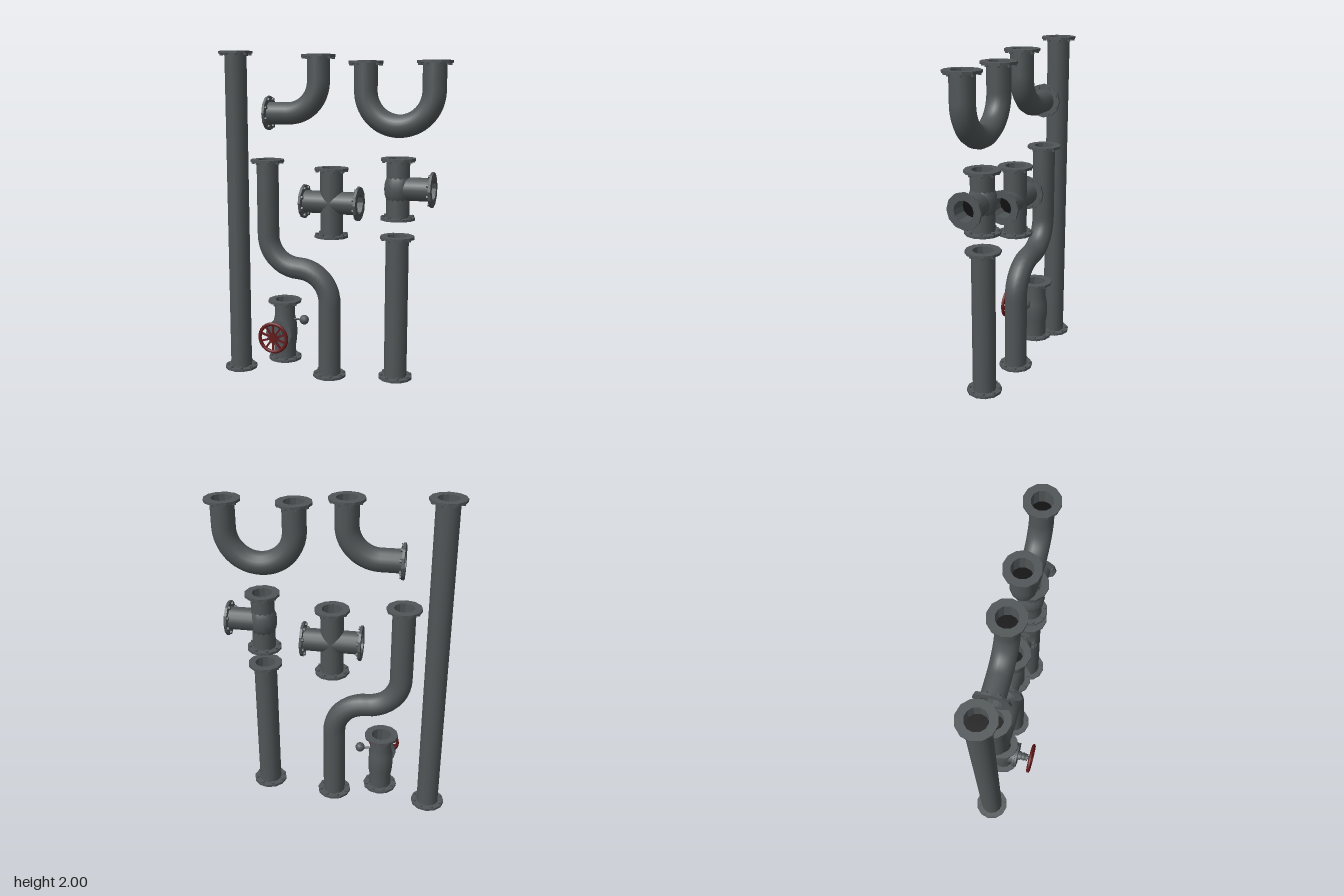
import * as THREE from 'three';
import { toCreasedNormals } from 'three/addons/utils/BufferGeometryUtils.js';

const R = 0.068, BORE = 0.06, RIM = 0.103, T = 0.015, Z = -0.052;
const UP = new THREE.Vector3(0, 1, 0);

const mat = (name, color) => {
  const m = new THREE.MeshStandardMaterial({ color });
  m.name = name;
  return m;
};

// Lifts a flat 2D path to a 3D curve
class FlatCurve extends THREE.Curve {
  constructor(path) { super(); this.path = path; }
  getPoint(t, target = new THREE.Vector3()) {
    const p = this.path.getPoint(t);
    return target.set(p.x, p.y, 0);
  }
}

export function createModel() {
  const steel = mat('dark steel', 0x505557);
  const dark = mat('bore black', 0x0c0c0c);
  const red = mat('wheel red', 0x641a1c);
  const model = new THREE.Group();
  model.name = 'pipeSet';

  const group = (name) => {
    const g = new THREE.Group();
    g.name = name;
    g.position.z = Z;
    model.add(g);
    return g;
  };
  const add = (parent, name, geo, material, x = 0, y = 0, z = 0) => {
    const m = new THREE.Mesh(geo, material);
    m.name = name;
    m.position.set(x, y, z);
    parent.add(m);
    return m;
  };

  // Flange ring with bore wall, faceing +y
  const ring = [[R - 0.004, -T], [RIM, -T], [RIM, 0], [BORE, 0], [BORE, -0.1]];
  const flangeGeo = toCreasedNormals(
    new THREE.LatheGeometry(ring.map(([x, y]) => new THREE.Vector2(x, y)), 12), 0.4);
  const boreGeo = new THREE.CircleGeometry(BORE + 0.003, 12).rotateX(-Math.PI / 2);
  const boltGeo = toCreasedNormals(new THREE.CylinderGeometry(0.011, 0.011, 0.012, 6), 0.4);

  const flange = (parent, x, y, dx, dy) => {
    const g = new THREE.Group();
    g.name = 'flange';
    g.position.set(x, y, 0);
    g.quaternion.setFromUnitVectors(UP, new THREE.Vector3(dx, dy, 0));
    add(g, 'flangeRing', flangeGeo, steel);
    add(g, 'bore', boreGeo, dark, 0, -0.098, 0);
    for (let i = 0; i < 8; i++) {
      const a = (i + 0.5) * Math.PI / 4;
      add(g, 'bolt', boltGeo, steel, 0.086 * Math.cos(a), -T - 0.005, 0.086 * Math.sin(a));
    }
    parent.add(g);
  };

  const upright = (g, x, y0, y1) => {
    add(g, 'pipe', new THREE.CylinderGeometry(R, R, y1 - y0 - 0.004, 14, 1, true), steel, x, (y0 + y1) / 2);
    flange(g, x, y1, 0, 1);
    flange(g, x, y0, 0, -1);
  };
  // Side arm from x0 out to x1
  const arm = (g, x0, x1, y) => {
    const geo = new THREE.CylinderGeometry(R, R, Math.abs(x1 - x0) - 0.002, 14, 1, true).rotateZ(Math.PI / 2);
    add(g, 'arm', geo, steel, (x0 + x1) / 2, y);
    flange(g, x1, y, Math.sign(x1 - x0), 0);
  };
  const bent = (g, path) =>
    add(g, 'bentPipe', new THREE.TubeGeometry(new FlatCurve(path), 48, R, 14, false), steel);

  // Straight pipes
  upright(group('longPipe'), -0.614, 0, 2);
  upright(group('shortPipe'), 0.407, 0.056, 0.928);

  // Elbow
  const elbow = group('elbow');
  bent(elbow, new THREE.Path().moveTo(-0.404, 1.632).lineTo(-0.272, 1.632)
    .absarc(-0.272, 1.822, 0.19, -Math.PI / 2, 0, false).lineTo(-0.082, 1.974));
  flange(elbow, -0.405, 1.632, -1, 0);
  flange(elbow, -0.082, 1.976, 0, 1);

  // U bend
  const uBend = group('uBend');
  bent(uBend, new THREE.Path().moveTo(0.208, 1.935).lineTo(0.208, 1.768)
    .absarc(0.408, 1.768, 0.2, Math.PI, 2 * Math.PI, false).lineTo(0.608, 1.935));
  flange(uBend, 0.208, 1.937, 0, 1);
  flange(uBend, 0.608, 1.937, 0, 1);

  // Offset pipe
  const offset = group('offsetPipe');
  bent(offset, new THREE.Path().moveTo(-0.413, 1.35).lineTo(-0.413, 0.885)
    .absarc(-0.213, 0.885, 0.2, Math.PI, 1.5 * Math.PI, false)
    .absarc(-0.213, 0.485, 0.2, Math.PI / 2, 0, true).lineTo(-0.013, 0.019));
  flange(offset, -0.413, 1.352, 0, 1);
  flange(offset, -0.013, 0.017, 0, -1);

  // Cross
  const cross = group('cross');
  upright(cross, 0, 0.897, 1.315);
  arm(cross, 0, 0.178, 1.106);
  arm(cross, 0, -0.178, 1.106);

  // Tee with a swollen middle
  const tee = group('tee');
  upright(tee, 0.407, 1.026, 1.386);
  arm(tee, 0.407, 0.617, 1.209);
  add(tee, 'swell', new THREE.SphereGeometry(0.082, 14, 10), steel, 0.407, 1.209).scale.y = 1.4;

  // Valve body
  const valve = group('valve');
  const vx = -0.307, vy = 0.288;
  const body = [[0.068, 0.1], [0.068, 0.19], [0.075, 0.23], [0.077, 0.288], [0.073, 0.34], [0.064, 0.38], [0.064, 0.478]];
  add(valve, 'body', new THREE.LatheGeometry(body.map(([x, y]) => new THREE.Vector2(x, y)), 14), steel, vx);
  flange(valve, vx, 0.48, 0, 1);
  flange(valve, vx, 0.098, 0, -1);

  // Bonnet, gland and stem, stacked along z: radius, from, to
  [['bonnetNeck', 0.062, -0.052, 0.035], ['bonnetPlate', 0.085, 0.03, 0.04],
    ['bonnetCover', 0.085, 0.045, 0.055], ['bonnetCore', 0.07, 0.035, 0.05],
    ['gland', 0.03, 0.055, 0.075], ['stem', 0.011, 0.05, 0.15], ['glandNut', 0.024, 0.108, 0.12],
  ].forEach(([name, r, z0, z1]) => add(valve, name,
    toCreasedNormals(new THREE.CylinderGeometry(r, r, z1 - z0, 12).rotateX(Math.PI / 2), 0.6),
    steel, vx, vy, (z0 + z1) / 2 - Z));
  add(valve, 'packing', new THREE.SphereGeometry(0.027, 10, 8), steel, vx, vy, 0.092 - Z);

  // Hand wheel
  const wheel = new THREE.Group();
  wheel.name = 'handWheel';
  wheel.position.set(vx, vy, 0.143 - Z);
  valve.add(wheel);
  add(wheel, 'rim', new THREE.TorusGeometry(0.087, 0.011, 8, 24), red);
  add(wheel, 'hub', toCreasedNormals(new THREE.CylinderGeometry(0.024, 0.024, 0.022, 12).rotateX(Math.PI / 2), 0.6), red);
  const spokeGeo = new THREE.BoxGeometry(0.07, 0.011, 0.01).translate(0.05, 0, 0);
  for (let i = 0; i < 10; i++) {
    add(wheel, 'spoke', spokeGeo, red).rotation.z = (i + 0.5) * Math.PI / 5;
  }

  // Side lever with ball end
  add(valve, 'leverRod', new THREE.CylinderGeometry(0.006, 0.006, 0.08, 8).rotateZ(Math.PI / 2), steel, -0.225, 0.362, 0.01);
  add(valve, 'leverBall', new THREE.SphereGeometry(0.03, 10, 8), steel, -0.175, 0.362, 0.01);

  return model;
}
